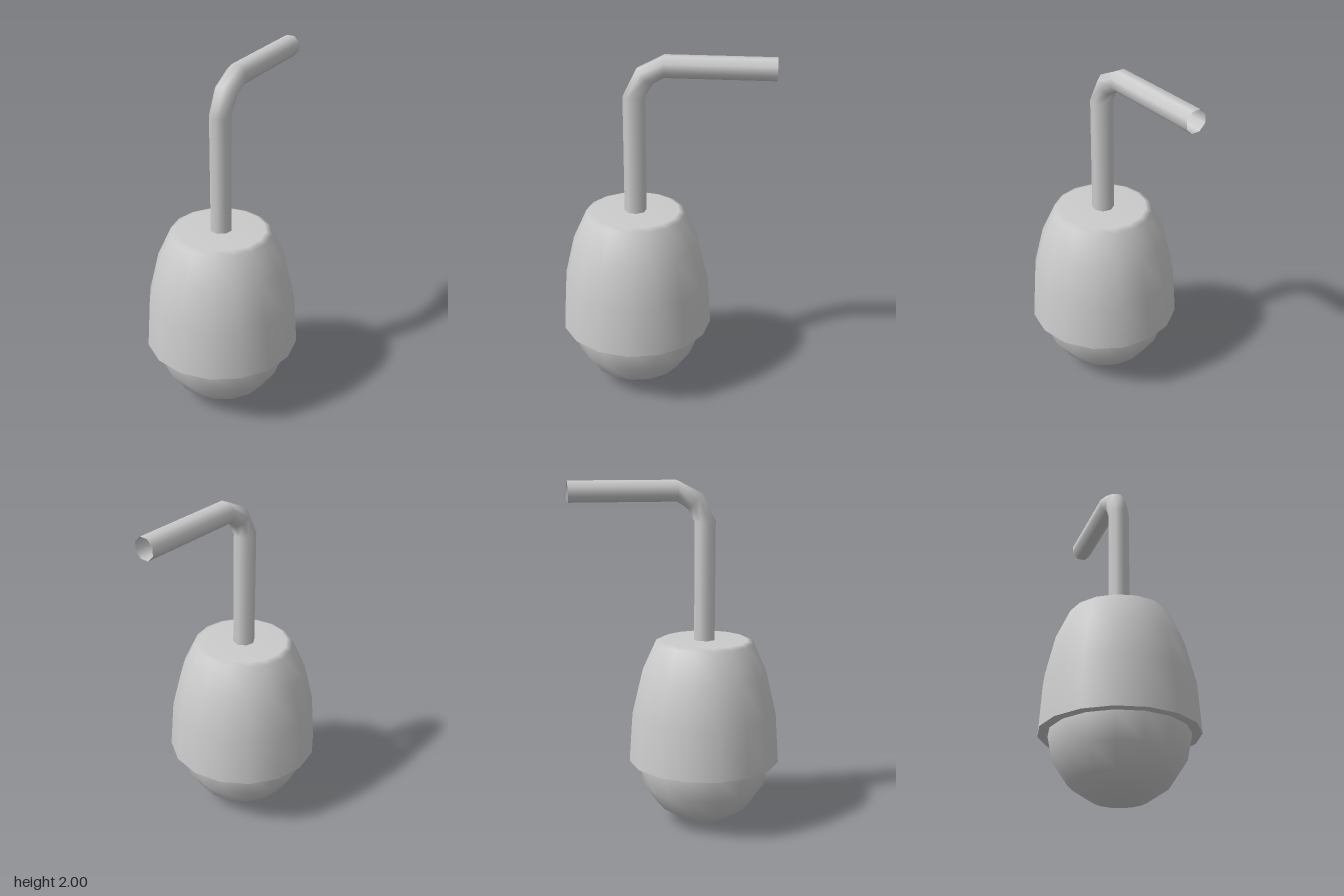
import * as THREE from 'three';

const grey = new THREE.MeshStandardMaterial({ color: 0xcccccc });
const greyDouble = new THREE.MeshStandardMaterial({ color: 0xcccccc, side: THREE.DoubleSide });
const SIDES = 16;
const AXIS_Z = 0.163; // the lamp hangs forward of the centre

function add(group, name, geometry, material = grey) {
  const mesh = new THREE.Mesh(geometry, material);
  mesh.name = name;
  group.add(mesh);
  return mesh;
}

// Open octagonal tube whose rows follow a bent path in the YZ plane.
function bentPipe(radius) {
  // each row: y, z, bend angle, twist
  const rows = [
    [1.09, AXIS_Z, 0, 0.16],
    [1.77, AXIS_Z, 0, 0.16],
    [1.885, 0.105, Math.PI / 4, 0.28],
    [1.942, 0, Math.PI / 2, Math.PI / 8],
    [1.942, -0.6, Math.PI / 2, Math.PI / 8],
  ];
  const geometry = new THREE.CylinderGeometry(1, 1, 1, 8, rows.length - 1, true);
  const { position, normal, uv } = geometry.attributes;
  for (let i = 0; i < position.count; i++) {
    const [y, z, bend, twist] = rows[Math.round(uv.getY(i) * (rows.length - 1))];
    const theta = uv.getX(i) * Math.PI * 2 + twist;
    const nx = Math.sin(theta);
    const ny = Math.cos(theta) * Math.sin(bend);
    const nz = Math.cos(theta) * Math.cos(bend);
    normal.setXYZ(i, nx, ny, nz);
    position.setXYZ(i, nx * radius, y + ny * radius, z + nz * radius);
  }
  return geometry;
}

export function createModel() {
  const model = new THREE.Group();
  model.name = 'hangingDome';

  const head = new THREE.Group();
  head.name = 'head';
  head.position.z = AXIS_Z;
  model.add(head);

  // Bell-shaped housing, closed on top
  const profile = [[0.44, 0.39], [0.42, 0.68], [0.365, 0.91], [0.285, 1.085], [0.25, 1.1], [0, 1.1]]
    .map(([r, y]) => new THREE.Vector2(r, y));
  add(head, 'housing', new THREE.LatheGeometry(profile, SIDES));

  // Flat underside of the housing
  const rim = new THREE.RingGeometry(0.38, 0.44, SIDES);
  rim.rotateX(Math.PI / 2);
  add(head, 'housingRim', rim).position.y = 0.39;

  // Lower half-sphere
  const dome = new THREE.SphereGeometry(0.385, SIDES, 4, 0, Math.PI * 2, Math.PI / 2, Math.PI / 2);
  add(head, 'dome', dome).position.y = 0.39;

  // Wall pipe with one bend, open at the far end
  add(model, 'pipe', bentPipe(0.063), greyDouble);

  return model;
}
